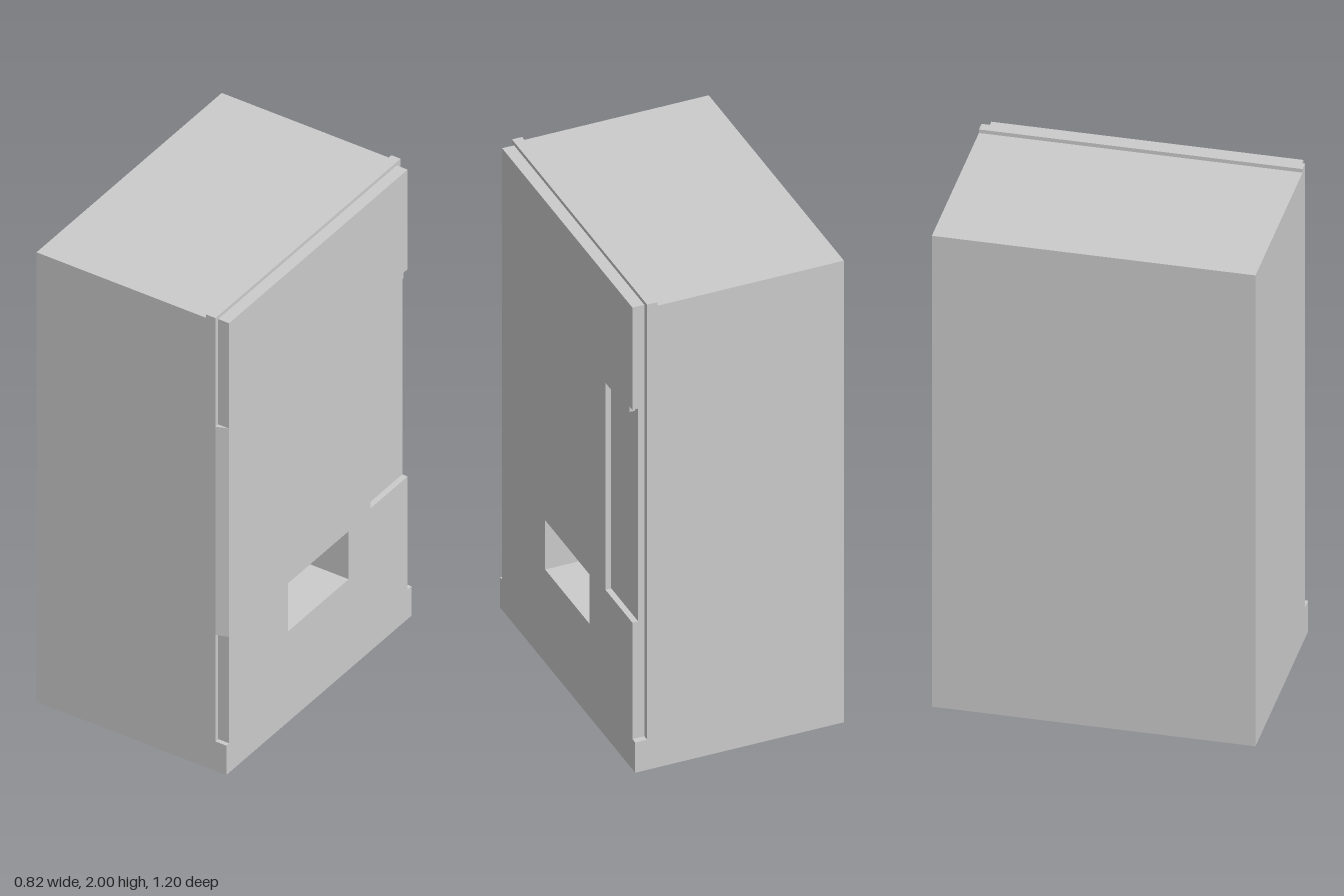
import * as THREE from 'three';

const material = new THREE.MeshStandardMaterial({ color: 0xcccccc, flatShading: true });

// Upright slab between x0 and x1; outline and hole points are [-z, y]
function slab(name, x0, x1, outline, hole) {
  const shape = new THREE.Shape(outline.map(p => new THREE.Vector2(...p)));
  if (hole) shape.holes.push(new THREE.Path(hole.map(p => new THREE.Vector2(...p))));
  const geo = new THREE.ExtrudeGeometry(shape, { depth: x1 - x0, bevelEnabled: false });
  geo.rotateY(Math.PI / 2).translate(x0, 0, 0);
  const mesh = new THREE.Mesh(geo, material);
  mesh.name = name;
  return mesh;
}

const rect = (u0, v0, u1, v1) => [[u0, v0], [u1, v0], [u1, v1], [u0, v1]];

export function createModel() {
  const group = new THREE.Group();
  group.name = 'vendingMachine';

  const back = -0.412, cavity = 0.23, seam = 0.365, recess = 0.389, face = 0.412;
  const top = 1.985, baseTop = 0.13;
  const slot = rect(-0.2, 0.4, 0.193, 0.612);
  const chamber = rect(-0.2, 0.4, 0.193, 0.78);

  // Cabinet: solid rear and a front portion hollowed for the delivery chamber
  group.add(slab('cabinet', back, cavity, rect(-0.6, 0, 0.6, top)));
  group.add(slab('cabinetFront', cavity, seam, rect(-0.6, 0, 0.6, top), chamber));
  group.add(slab('topRidge', 0.325, seam, rect(-0.6, top, 0.6, 2)));
  group.add(slab('basePlinth', seam, face, rect(-0.6, 0, 0.6, baseTop)));

  // Door: a full inner layer and an outer layer cut away for the control panel
  const u0 = -0.582, u1 = 0.575;
  group.add(slab('doorInner', seam, recess, rect(u0, baseTop, u1, top), slot));
  group.add(slab('doorOuter', recess, face, [
    [u0, baseTop], [u1, baseTop], [u1, 0.63], [0.335, 0.63], [0.335, 1.52],
    [0.548, 1.52], [0.548, 1.545], [u1, 1.545], [u1, top], [u0, top],
  ], slot));

  // Tapered grip filling the gap along the door's front edge
  const wedge = new THREE.Shape([
    new THREE.Vector2(seam, -0.6), new THREE.Vector2(face, u0), new THREE.Vector2(seam, u0),
  ]);
  const gripGeo = new THREE.ExtrudeGeometry(wedge, { depth: 0.92, bevelEnabled: false });
  gripGeo.rotateX(-Math.PI / 2).translate(0, 0.6, 0);
  const grip = new THREE.Mesh(gripGeo, material);
  grip.name = 'doorGrip';
  group.add(grip);

  return group;
}
